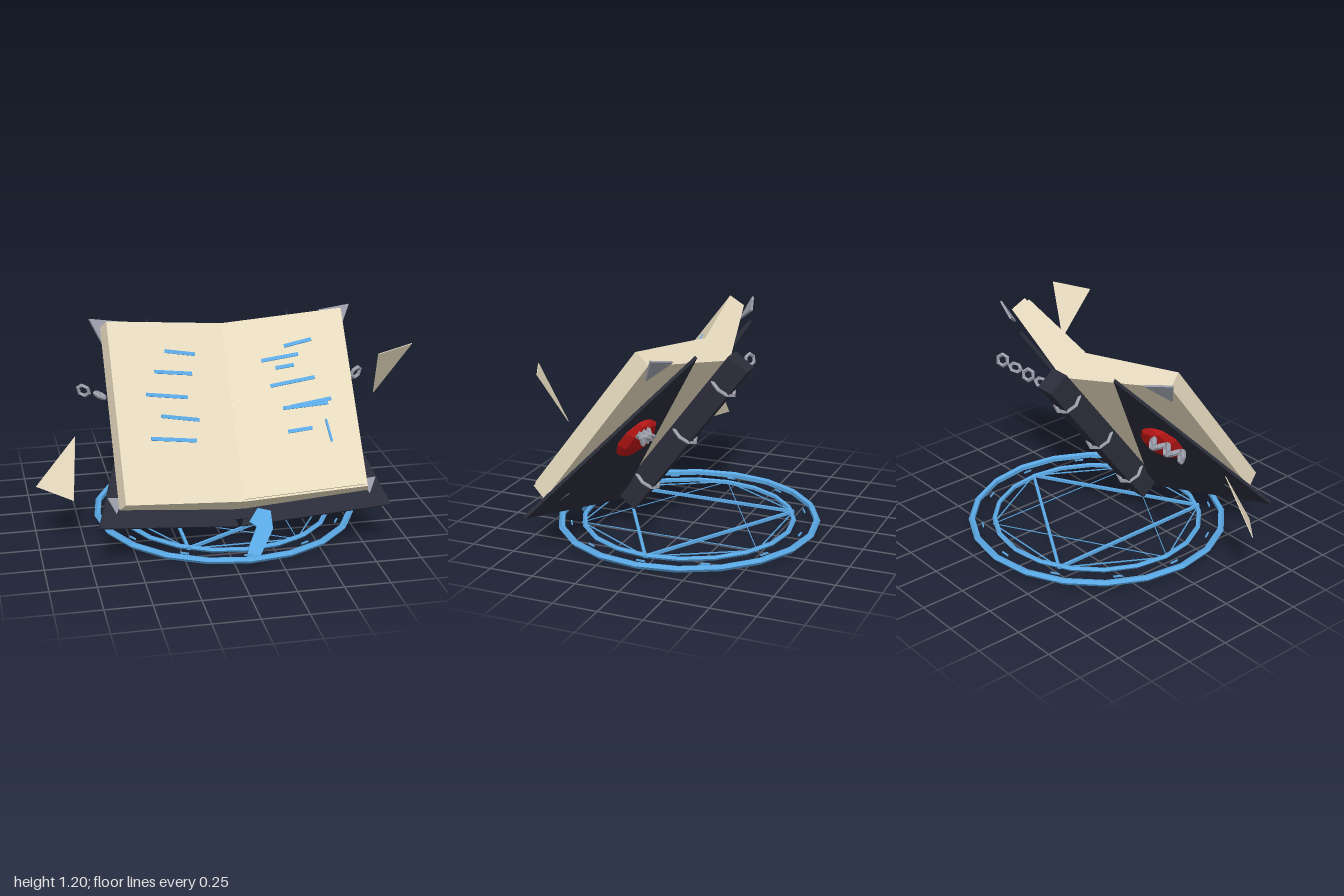
import * as THREE from 'three';
import { ConvexGeometry } from 'three/addons/geometries/ConvexGeometry.js';

const mat = (color) => new THREE.MeshStandardMaterial({ color, flatShading: true, side: THREE.DoubleSide });
const V = (x, y, z) => new THREE.Vector3(x, y, z);

export function createModel() {
  const paper = mat(0xe8dcc0), cover = mat(0x2b2d3a), metal = mat(0x9a9ca8);
  const red = mat(0xb81616), blue = mat(0x5aa9e6);
  const model = new THREE.Group();
  model.name = 'spellbook';

  const add = (parent, name, geometry, material, x = 0, y = 0, z = 0) => {
    const mesh = new THREE.Mesh(geometry, material);
    mesh.name = name;
    mesh.position.set(x, y, z);
    parent.add(mesh);
    return mesh;
  };
  // Thin triangular plate through three points
  const plate = (a, b, c, t) => {
    const n = V().crossVectors(b.clone().sub(a), c.clone().sub(a)).setLength(t / 2);
    return new ConvexGeometry([a, b, c].flatMap((p) => [p.clone().add(n), p.clone().sub(n)]));
  };

  // Open book, built upright (x across, y along the page, z out of the page) and tilted back
  const book = new THREE.Group();
  book.name = 'book';
  book.position.x = 0.075;
  book.rotation.x = -0.65;
  model.add(book);

  // Page block: V-shaped section swept along the page height
  const section = [[0, 0.6], [0.65, 0.735], [0.675, 0.64], [0, 0.42], [-0.675, 0.64], [-0.65, 0.735]];
  const shape = new THREE.Shape(section.map(([x, w]) => new THREE.Vector2(x, -w)));
  const block = new THREE.ExtrudeGeometry(shape, { depth: 1.015, bevelEnabled: false });
  block.rotateX(-Math.PI / 2);
  add(book, 'pageBlock', block, paper, 0, -0.065, 0);

  // Loose sheet lying on the left page
  const slope = 0.2077, tilt = Math.atan(slope);
  const pageZ = (x) => 0.6 + slope * Math.abs(x);
  add(book, 'looseSheet', new THREE.BoxGeometry(0.64, 0.99, 0.012), paper,
    0.318, 0.44, pageZ(0.318) + 0.007).rotation.y = -tilt;

  // Spine with three metal bands
  add(book, 'spine', new THREE.BoxGeometry(0.115, 1.11, 0.133), cover, 0, 0.435, 0.367);
  for (const y of [0.06, 0.435, 0.81]) {
    const band = new THREE.TorusGeometry(0.076, 0.012, 4, 8).rotateX(Math.PI / 2);
    add(book, 'spineBand', band, metal, 0, y, 0.358);
  }

  for (const s of [-1, 1]) {
    // Triangular cover
    add(book, 'cover', plate(V(s * 0.79, -0.157, 0.645), V(s * 0.01, -0.157, 0.407),
      V(s * 0.4, 1.03, 0.518), 0.018), cover);

    // Metal corner tips, top and bottom
    for (const dy of [0, -1]) {
      add(book, 'cornerTip', plate(V(s * 0.73, 1.005 + dy, 0.637), V(s * 0.57, 1.005 + dy, 0.572),
        V(s * 0.67, 0.874 + dy, 0.607), 0.012), metal);
    }

    // Faceted gem on the back of the cover
    const gem = add(book, 'gem', new THREE.SphereGeometry(1, 8, 5), red, s * 0.4, 0.437, 0.5);
    gem.scale.set(0.125, 0.14, 0.05);
    gem.rotation.y = -s * 0.3;

    // Chain trailing outward from the gem
    const from = V(0.075 + s * 0.43, 0.69, 0.04), to = V(0.075 + s * 0.775, 0.79, -0.07);
    for (let i = 0; i < 5; i++) {
      const p = from.clone().lerp(to, i / 4);
      const link = add(model, 'chainLink', new THREE.TorusGeometry(0.034, 0.012, 4, 6), metal, p.x, p.y, p.z);
      link.rotation.set(i % 2 ? Math.PI / 2 : 0.3, s * 0.5, s * 0.25);
    }
  }

  // Glowing strokes: [x0, y0, x1, y1] measured on the upright front, laid on the page slope
  const strokes = [
    [-0.27, 1.03, -0.1, 0.995], [-0.34, 0.945, -0.13, 0.91], [-0.4, 0.85, -0.17, 0.808],
    [-0.33, 0.745, -0.12, 0.7], [-0.4, 0.655, -0.15, 0.612], [0.39, 1.02, 0.54, 1.055],
    [0.26, 0.95, 0.46, 0.985], [0.33, 0.918, 0.43, 0.935], [0.29, 0.835, 0.53, 0.88],
    [0.34, 0.735, 0.58, 0.765], [0.38, 0.742, 0.6, 0.785], [0.35, 0.63, 0.48, 0.65],
    [0.555, 0.69, 0.57, 0.59],
  ];
  for (const [x0, y0, x1, y1] of strokes) {
    const [a, b] = [[x0, y0], [x1, y1]].map(([x, y]) => {
      const u = x - 0.075, z = pageZ(u) + (u > 0 ? 0.012 : 0);
      return V(u, (y - 0.605 * z) / 0.796, z);
    });
    const mid = a.clone().lerp(b, 0.5);
    const bar = add(book, 'stroke', new THREE.BoxGeometry(0.012, 0.02, a.distanceTo(b)), blue, ...mid);
    bar.quaternion.setFromUnitVectors(V(0, 0, 1), b.sub(a).normalize());
    // Turn upright strokes flat against the page
    if (Math.abs(y1 - y0) > Math.abs(x1 - x0)) bar.scale.set(1, 0.6, 1);
  }

  // Bookmark ribbon curling out below the pages
  const ribbon = [[0.104, 0.19], [0.158, 0.246], [0.227, 0.23], [0.227, 0.15],
    [0.131, 0.027], [0.06, 0.01], [0.08, 0.075], [0.14, 0.166]];
  const ribbonShape = new THREE.Shape(ribbon.map(([x, y]) => new THREE.Vector2(x - 0.075, (y - 0.318) / 0.796)));
  add(book, 'ribbon', new THREE.ExtrudeGeometry(ribbonShape, { depth: 0.02, bevelEnabled: false }),
    blue, 0, 0, 0.515);

  // Floating torn page pieces
  add(model, 'tornPage', plate(V(0.78, 1.1, 0.54), V(1, 1.11, 0.43), V(0.82, 0.82, 0.355), 0.004), paper);
  add(model, 'tornPage', plate(V(-0.78, 0.62, 0.175), V(-1, 0.345, 0.175), V(-0.815, 0.315, 0.335), 0.004), paper);

  // Ground circle: two rings, a six-pointed star, a hexagon and small marks
  const circle = new THREE.Group();
  circle.name = 'groundCircle';
  circle.position.set(0.07, 0.066, 0);
  model.add(circle);
  const ring = (name, r, t) =>
    add(circle, name, new THREE.TorusGeometry(r, t, 5, 20).rotateX(Math.PI / 2), blue);
  ring('outerRing', 0.72, 0.019);
  ring('innerRing', 0.59, 0.014);

  const corner = (i) => V(0.6 * Math.cos(i * Math.PI / 3), 0, 0.6 * Math.sin(i * Math.PI / 3));
  const line = (name, a, b, t) => {
    const m = a.clone().lerp(b, 0.5);
    add(circle, name, new THREE.BoxGeometry(a.distanceTo(b), t, t), blue, m.x, 0, m.z)
      .rotation.y = -Math.atan2(b.z - a.z, b.x - a.x);
  };
  for (let i = 0; i < 6; i++) {
    line('starLine', corner(i), corner(i + 2), i % 2 ? 0.004 : 0.016);
    line('hexagonLine', corner(i), corner(i + 1), 0.006);
  }
  for (let i = 0; i < 12; i++) {
    const a = i * Math.PI / 6;
    add(circle, 'mark', new THREE.BoxGeometry(0.008, 0.008, 0.05), blue,
      0.66 * Math.cos(a), 0, 0.66 * Math.sin(a)).rotation.y = -a;
  }
  return model;
}
